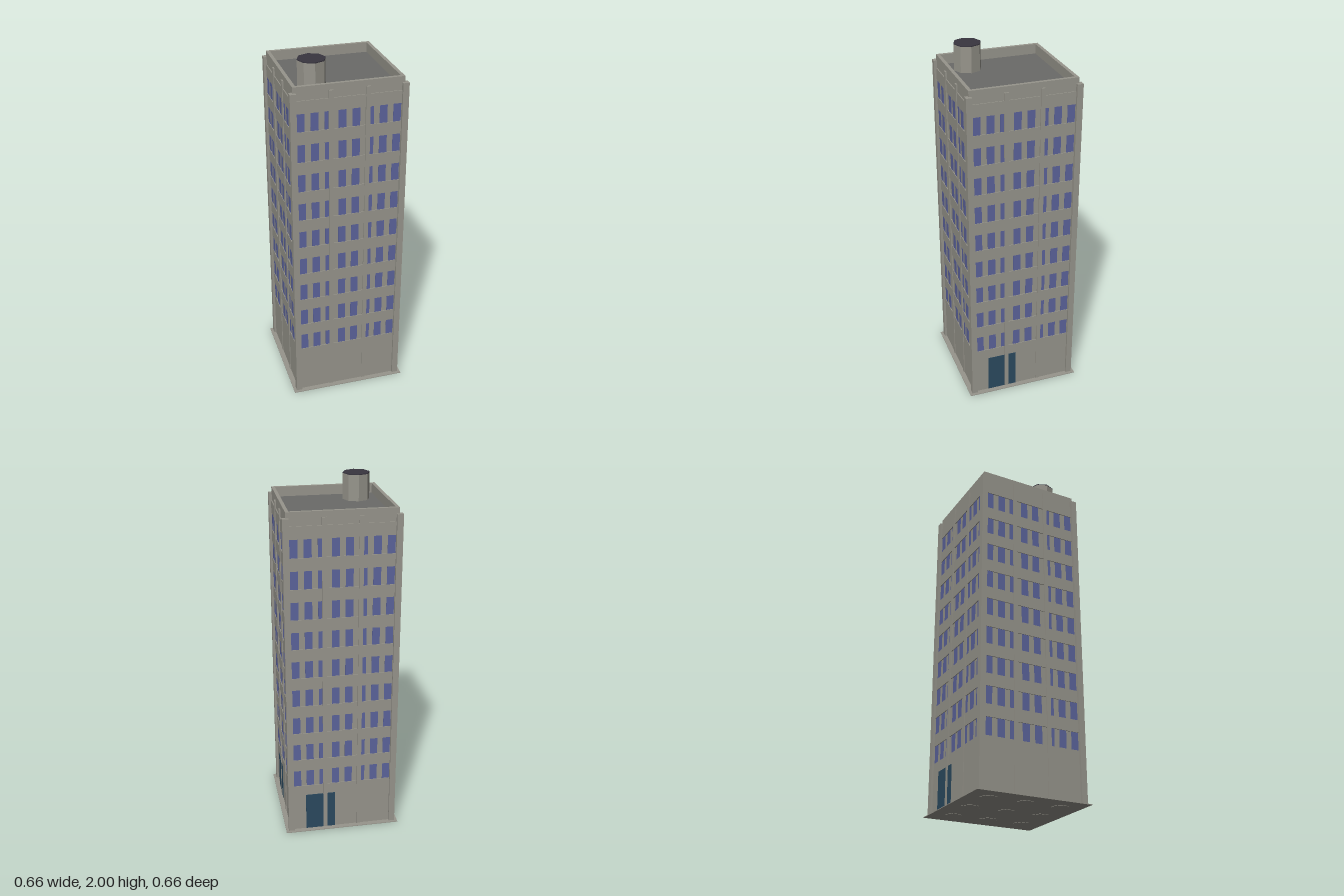
import * as THREE from 'three';

const paint = (name, color) => {
  const m = new THREE.MeshStandardMaterial({ color });
  m.name = name;
  return m;
};

export function createModel() {
  const concrete = paint('concrete', 0x97958c);
  const roofing = paint('roofing', 0x6a6a68);
  const glass = paint('windowGlass', 0x5c649c);
  const doorBlue = paint('doorBlue', 0x2b4a60);
  const capDark = paint('tankCapDark', 0x38353f);

  const model = new THREE.Group();
  model.name = 'towerBlock';

  const add = (parent, name, geometry, material, x, y, z) => {
    const mesh = new THREE.Mesh(geometry, material);
    mesh.name = name;
    mesh.position.set(x, y, z);
    parent.add(mesh);
    return mesh;
  };
  // Box given by its bottom and top heights
  const block = (parent, name, w, d, y0, y1, material, x = 0, z = 0) =>
    add(parent, name, new THREE.BoxGeometry(w, y1 - y0, d), material, x, (y0 + y1) / 2, z);

  const CORE = 0.298, BAND = 0.303, PILASTER = 0.307;
  const ROOF = 1.85, TOP = 1.905, PIER_TOP = 1.873;
  const FLOORS = 9, SILL = 0.296, PITCH = 0.1707, WINDOW_H = 0.1;

  // Ground slab with its footings
  block(model, 'groundSlab', 0.664, 0.664, 0.002, 0.006, concrete);
  for (const x of [-0.21, 0, 0.21])
    for (const z of [-0.21, 0, 0.21])
      add(model, 'footing', new THREE.CylinderGeometry(0.053, 0.053, 0.003, 6), concrete, x, 0.0015, z);

  // Core, roof and parapet
  block(model, 'core', CORE * 2, CORE * 2, 0.004, ROOF - 0.004, concrete);
  block(model, 'roof', 0.57, 0.57, ROOF - 0.006, ROOF, roofing);
  const rim = 0.019, mid = CORE - rim / 2;
  for (const s of [-1, 1]) {
    block(model, 'parapet', CORE * 2, rim, ROOF - 0.004, TOP, concrete, 0, s * mid);
    block(model, 'parapet', rim, (CORE - rim) * 2, ROOF - 0.004, TOP, concrete, s * mid, 0);
  }

  // Ground storey and the projecting bands between window rows
  block(model, 'groundStorey', BAND * 2, BAND * 2, 0.004, SILL, concrete);
  for (let i = 0; i < FLOORS; i++) {
    const y0 = SILL + i * PITCH + WINDOW_H;
    const y1 = i < FLOORS - 1 ? SILL + (i + 1) * PITCH : 1.831;
    block(model, 'floorBand', BAND * 2, BAND * 2, y0, y1, concrete);
  }

  // Corner piers
  for (const x of [-0.299, 0.299])
    for (const z of [-0.299, 0.299])
      block(model, 'cornerPier', 0.034, 0.034, 0.004, PIER_TOP, concrete, x, z);

  // Four facades, each built facing +z and then turned
  const pane = new THREE.BoxGeometry(0.042, WINDOW_H, 0.004);
  for (let side = 0; side < 4; side++) {
    const facade = new THREE.Group();
    facade.name = ['frontFacade', 'leftFacade', 'backFacade', 'rightFacade'][side];
    facade.rotation.y = side * Math.PI / 2;
    model.add(facade);
    for (const x of [-0.099, 0.099])
      block(facade, 'pilaster', 0.024, PILASTER - 0.29, 0.004, PIER_TOP, concrete, x, (PILASTER + 0.29) / 2);
    for (let i = 0; i < FLOORS; i++)
      for (let c = 0; c < 8; c++)
        add(facade, 'window', pane, glass, (c - 3.5) * 0.074, SILL + i * PITCH + WINDOW_H / 2, CORE);
    // Entrances on the left and back sides only
    if (side === 1 || side === 2)
      block(facade, 'door', 0.17, 0.004, 0.006, 0.233, doorBlue, -0.127, BAND);
  }
  // The back entrance sits toward the left corner, as seen from behind

  // Octagonal roof tank with a dark cap
  const tank = new THREE.Group();
  tank.name = 'roofTank';
  tank.position.set(-0.162, 0, 0.16);
  model.add(tank);
  const octagon = (h) => new THREE.CylinderGeometry(0.076, 0.076, h, 8).toNonIndexed();
  const body = octagon(0.148);
  body.computeVertexNormals();
  add(tank, 'tankBody', body, concrete, 0, 1.921, 0);
  const cap = octagon(0.005);
  cap.computeVertexNormals();
  add(tank, 'tankCap', cap, capDark, 0, 1.9975, 0);

  return model;
}
